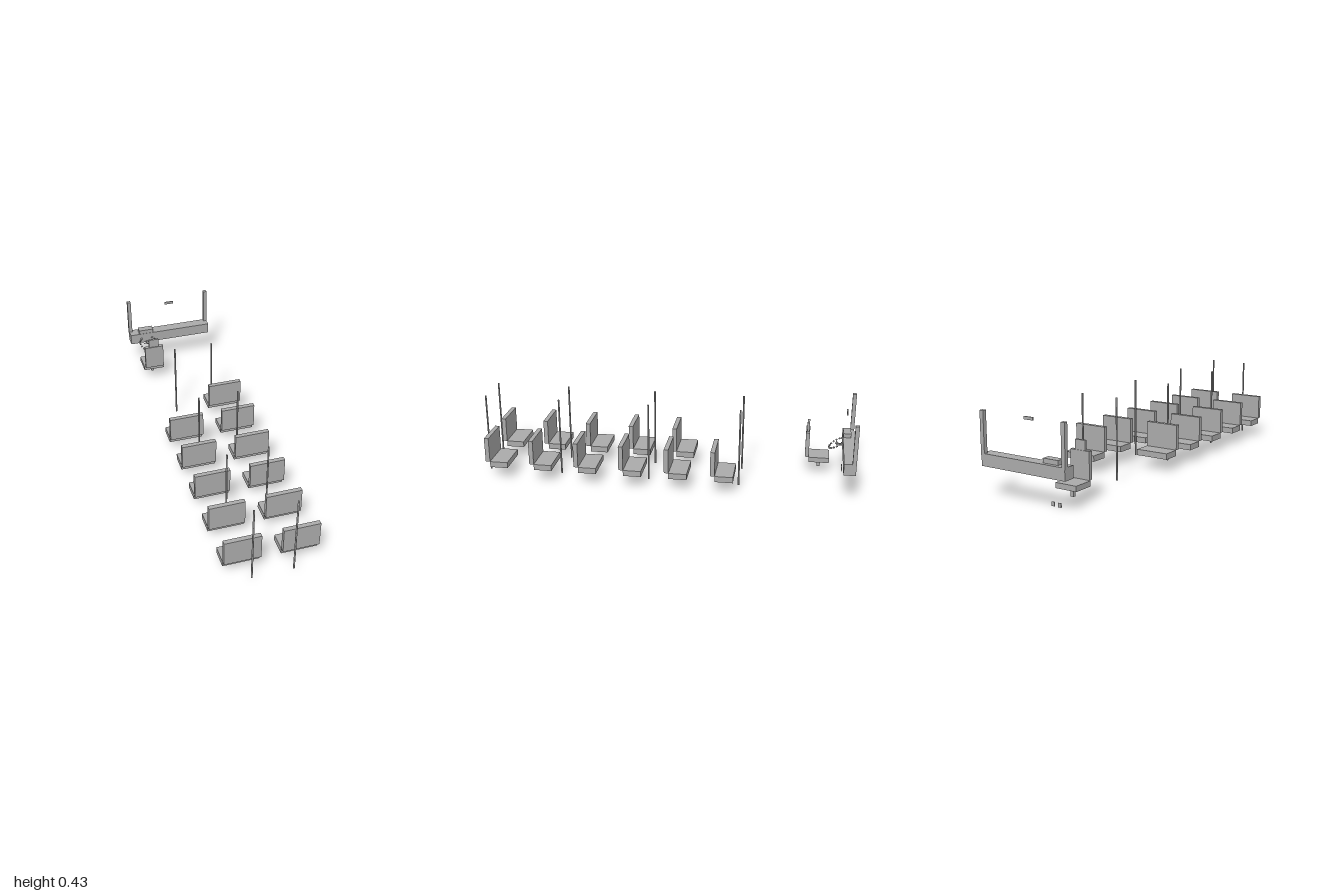
import * as THREE from 'three';

export function createModel() {
  const model = new THREE.Group();
  const grey = new THREE.MeshStandardMaterial({ color: 0xaaaaaa });
  grey.name = 'plain grey';

  // Box given by its minimum and maximum on each axis
  function box(name, [x0, x1], [y0, y1], [z0, z1], parent = model) {
    const mesh = new THREE.Mesh(new THREE.BoxGeometry(x1 - x0, y1 - y0, z1 - z0), grey);
    mesh.position.set((x0 + x1) / 2, (y0 + y1) / 2, (z0 + z1) / 2);
    mesh.name = name;
    parent.add(mesh);
    return mesh;
  }

  // Passenger benches: five rows on one side, six on the other
  for (const side of [-1, 1]) {
    const rows = side > 0 ? 6 : 5;
    const xs = side > 0 ? [0.054, 0.24] : [-0.24, -0.054];
    for (let i = 0; i < rows; i++) {
      const bench = new THREE.Group();
      bench.name = 'passengerBench';
      bench.position.z = 0.974 - i * 0.2452;
      box('benchCushion', xs, [0.07, 0.102], [-0.121, -0.024], bench);
      box('benchBack', xs, [0.102, 0.237], [-0.024, 0], bench);
      model.add(bench);
    }
  }

  // Grab poles from floor to ceiling
  const poleGeometry = new THREE.CylinderGeometry(0.0048, 0.0048, 0.431, 8);
  for (const x of [-0.107, 0.107]) {
    for (const z of [0.995, 0.587, 0.098, -0.393]) {
      const pole = new THREE.Mesh(poleGeometry, grey);
      pole.position.set(x, 0.2155, z);
      pole.name = 'grabPole';
      model.add(pole);
    }
  }

  // Dashboard, instrument hump and windscreen pillars
  box('dashboard', [-0.249, 0.249], [0.161, 0.223], [-1, -0.937]);
  box('instrumentHump', [-0.195, -0.108], [0.223, 0.246], [-0.98, -0.939]);
  for (const s of [-1, 1]) {
    box('windscreenPillar', [s * 0.241 - 0.0105, s * 0.241 + 0.0105], [0.213, 0.431], [-1, -0.979]);
  }
  box('rearMirror', [-0.027, 0.027], [0.404, 0.419], [-0.949, -0.943]);

  // Driver seat
  const driverSeat = new THREE.Group();
  driverSeat.name = 'driverSeat';
  box('driverCushion', [-0.211, -0.09], [0.074, 0.102], [-0.87, -0.759], driverSeat);
  box('driverBack', [-0.205, -0.094], [0.102, 0.242], [-0.759, -0.738], driverSeat);
  box('headrest', [-0.179, -0.121], [0.242, 0.292], [-0.756, -0.743], driverSeat);
  box('seatPedestal', [-0.158, -0.142], [0.03, 0.074], [-0.823, -0.806], driverSeat);
  model.add(driverSeat);

  // Pedals
  for (const x of [-0.1725, -0.1325]) {
    box('pedal', [x - 0.0088, x + 0.0088], [0.013, 0.034], [-0.945, -0.941]);
  }

  // Tilted steering wheel: a ring of small blocks with hub and spokes
  const wheel = new THREE.Group();
  wheel.name = 'steeringWheel';
  const blocks = 16;
  for (let i = 0; i < blocks; i++) {
    const a = (i / blocks) * Math.PI * 2;
    const block = new THREE.Mesh(new THREE.BoxGeometry(0.009, 0.007, 0.009), grey);
    block.position.set(Math.cos(a) * 0.048, 0, Math.sin(a) * 0.048);
    block.rotation.y = -a;
    block.name = 'rimBlock';
    wheel.add(block);
  }
  const hub = new THREE.Mesh(new THREE.CylinderGeometry(0.008, 0.008, 0.007, 8), grey);
  hub.name = 'wheelHub';
  wheel.add(hub);
  box('wheelSpoke', [-0.026, 0.026], [-0.002, 0.002], [-0.002, 0.002], wheel);
  wheel.position.set(-0.15, 0.172, -0.907);
  wheel.rotation.x = 0.57;
  model.add(wheel);
  box('steeringColumn', [-0.156, -0.144], [0.161, 0.171], [-0.937, -0.91]);

  return model;
}
